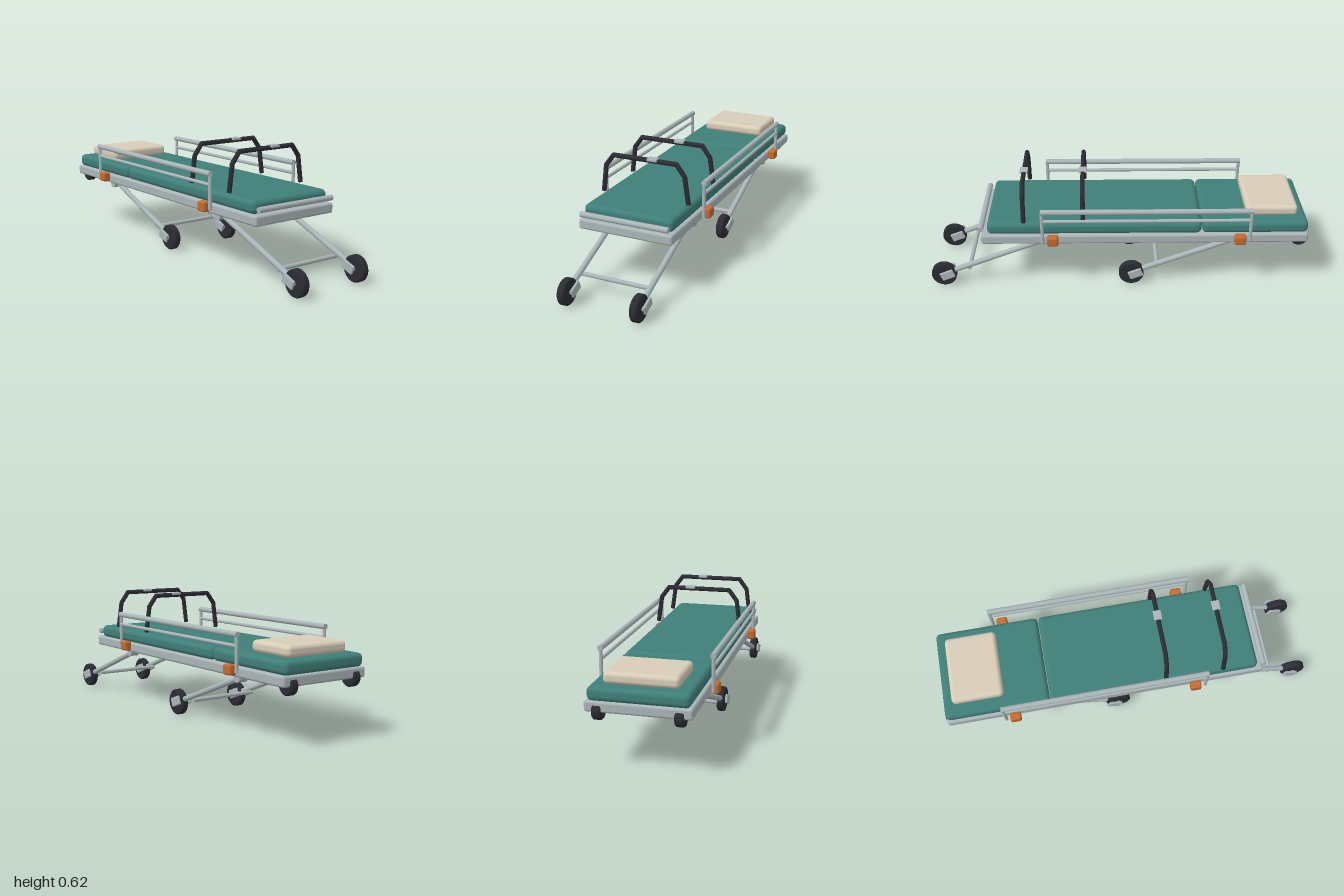
import * as THREE from 'three';
import { RoundedBoxGeometry } from 'three/addons/geometries/RoundedBoxGeometry.js';

function material(name, color) {
  const m = new THREE.MeshStandardMaterial({ color });
  m.name = name;
  return m;
}

export function createModel() {
  const metal = material('brushed metal', 0xaab5b7);
  const teal = material('teal vinyl', 0x3f7f79);
  const linen = material('cream linen', 0xd8cdb8);
  const black = material('black rubber', 0x2b2b33);
  const orange = material('orange plastic', 0xc56a30);

  const model = new THREE.Group();
  model.name = 'stretcher';

  function add(parent, name, geometry, mat, x = 0, y = 0, z = 0) {
    const mesh = new THREE.Mesh(geometry, mat);
    mesh.name = name;
    mesh.position.set(x, y, z);
    parent.add(mesh);
    return mesh;
  }
  function box(parent, name, mat, size, pos, radius) {
    return add(parent, name, new RoundedBoxGeometry(...size, 3, radius), mat, ...pos);
  }
  // Round bar between two points
  function bar(parent, name, mat, from, to, radius) {
    const a = new THREE.Vector3(...from), b = new THREE.Vector3(...to);
    const d = b.clone().sub(a);
    const mesh = add(parent, name, new THREE.CylinderGeometry(radius, radius, d.length(), 16), mat);
    mesh.position.copy(a).add(b).multiplyScalar(0.5);
    mesh.quaternion.setFromUnitVectors(new THREE.Vector3(0, 1, 0), d.normalize());
    return mesh;
  }
  // Wheel with softened tyre edges, axle along x
  function wheel(parent, name, radius, width, x, y, z) {
    const h = width / 2, c = 0.006;
    const profile = [[0, -h], [radius - c, -h], [radius - c, -h], [radius, -h + c], [radius, -h + c],
      [radius, h - c], [radius, h - c], [radius - c, h], [radius - c, h], [0, h]]
      .map(([r, t]) => new THREE.Vector2(r, t));
    const mesh = add(parent, name, new THREE.LatheGeometry(profile, 28), black, x, y, z);
    mesh.rotation.z = Math.PI / 2;
  }

  // Deck, cushions and foot bar
  box(model, 'deck', metal, [0.5, 0.053, 1.7], [0, 0.314, -0.138], 0.012);
  box(model, 'bodyCushion', teal, [0.478, 0.068, 1.113], [0, 0.371, 0.123], 0.025);
  box(model, 'headCushion', teal, [0.478, 0.068, 0.55], [0, 0.371, -0.712], 0.025);
  box(model, 'pillow', linen, [0.356, 0.058, 0.27], [0, 0.434, -0.801], 0.022);
  bar(model, 'footBar', metal, [-0.234, 0.368, 0.712], [0.234, 0.368, 0.712], 0.0145);

  // Side rails with their clamps
  for (const side of [1, -1]) {
    const rail = new THREE.Group();
    rail.name = side > 0 ? 'leftRail' : 'rightRail';
    model.add(rail);
    const x = side * 0.272;
    for (const z of [0.39, -0.68]) {
      bar(rail, 'railPost', metal, [x, 0.315, z], [x, 0.494, z], 0.009);
    }
    bar(rail, 'topRail', metal, [x, 0.494, 0.395], [x, 0.494, -0.688], 0.014);
    bar(rail, 'middleRail', metal, [x, 0.44, 0.39], [x, 0.44, -0.68], 0.009);
    for (const z of [0.338, -0.63]) {
      box(rail, 'railClamp', orange, [0.042, 0.052, 0.058], [side * 0.273, 0.325, z], 0.01);
    }
  }

  // Raised straps with buckles
  const hoop = [[-0.231, 0.412], [-0.213, 0.551], [-0.17, 0.608], [0.17, 0.608], [0.213, 0.551], [0.233, 0.412]];
  for (const z of [0.488, 0.182]) {
    const strap = new THREE.Group();
    strap.name = 'strap';
    model.add(strap);
    for (let i = 0; i < hoop.length - 1; i++) {
      bar(strap, 'strapSection', black, [...hoop[i], z], [...hoop[i + 1], z], 0.012);
      if (i > 0) add(strap, 'strapBend', new THREE.SphereGeometry(0.012, 14, 10), black, ...hoop[i], z);
    }
    box(strap, 'buckle', metal, [0.052, 0.013, 0.042], [0.046, 0.615, z], 0.003);
  }

  // Two folded leg frames
  for (const pivotZ of [0.385, -0.62]) {
    const frame = new THREE.Group();
    frame.name = pivotZ > 0 ? 'frontLegs' : 'rearLegs';
    model.add(frame);
    const wheelZ = pivotZ + 0.549, wheelY = 0.067;
    const slope = Math.atan2(0.28 - wheelY, 0.549);
    for (const side of [1, -1]) {
      const x = side * 0.19;
      bar(frame, 'leg', metal, [x, 0.28, pivotZ], [x, wheelY, wheelZ], 0.0145);
      bar(frame, 'legPivot', metal, [side * 0.175, 0.278, pivotZ], [side * 0.225, 0.278, pivotZ], 0.023);
      wheel(frame, 'wheel', 0.067, 0.038, x, wheelY, wheelZ);
      bar(frame, 'axle', metal, [side * 0.153, wheelY, wheelZ], [side * 0.227, wheelY, wheelZ], 0.011);
      for (const px of [0.157, 0.223]) {
        const plate = box(frame, 'wheelPlate', metal, [0.014, 0.048, 0.075],
          [side * px, 0.076, wheelZ - 0.022], 0.006);
        plate.rotation.x = slope;
      }
    }
    bar(frame, 'crossbar', metal, [-0.19, 0.098, pivotZ + 0.412], [0.19, 0.098, pivotZ + 0.412], 0.011);
  }

  // Small casters under the head end
  for (const side of [1, -1]) {
    wheel(model, 'headCaster', 0.046, 0.044, side * 0.19, 0.291, -0.953);
  }
  return model;
}
